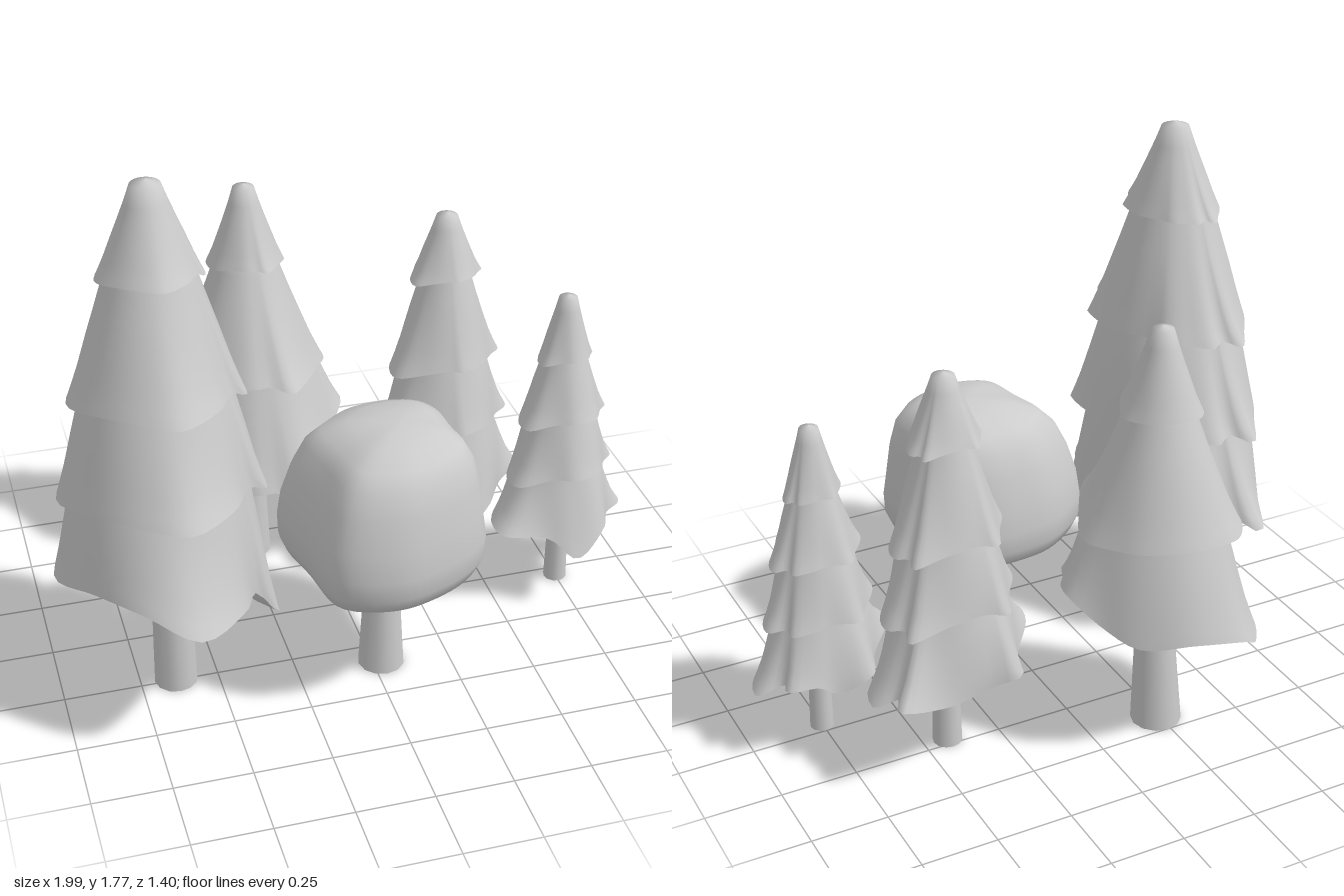
import * as THREE from 'three';
import { mergeGeometries } from 'three/addons/utils/BufferGeometryUtils.js';

const material = new THREE.MeshStandardMaterial({ color: 0xcccccc });
const SIDES = 56;
const V = (x, y, z) => new THREE.Vector3(x, y, z);
const lerp = THREE.MathUtils.lerp;

// Skin a stack of closed rings, listed from the top down.
function loft(rings) {
  const n = rings[0].length, index = [];
  for (let k = 0; k < rings.length - 1; k++) {
    for (let i = 0; i < n; i++) {
      const u0 = k * n + i, u1 = k * n + (i + 1) % n;
      index.push(u0, u1, u0 + n, u1, u1 + n, u0 + n);
    }
  }
  const geometry = new THREE.BufferGeometry().setFromPoints(rings.flat());
  geometry.setIndex(index);
  geometry.computeVertexNormals();
  return geometry;
}

// Smooth closed outline through [x, z, y] points.
const outline = (points) =>
  new THREE.CatmullRomCurve3(points.map(([x, z, y = 0]) => V(x, y, z)), true)
    .getSpacedPoints(SIDES).slice(0, SIDES);

function add(parent, name, geometry) {
  const mesh = new THREE.Mesh(geometry, material);
  mesh.name = name;
  parent.add(mesh);
}

// Tapered trunk whose top may lean backward or forward.
function trunk(parent, { x, z, bottom, top, height, leanZ = 0 }) {
  const geometry = new THREE.CylinderGeometry(top, bottom, height, 12, 3);
  geometry.translate(0, height / 2, 0);
  const p = geometry.attributes.position;
  for (let i = 0; i < p.count; i++) p.setZ(i, p.getZ(i) + leanZ * p.getY(i) / height);
  geometry.translate(x, 0, z);
  add(parent, 'trunk', geometry);
}

// One skirt of branches: a flared cone with a ragged rim and hollow underside.
// The lowest skirt follows the rim exactly; those above are rounder,
// raised at the front and drooping at the sides and tips.
function skirt(rim, apex, meanR, [topY, topR, baseY, scale]) {
  const lowest = scale === 1;
  const ragged = lowest ? 1 : lerp(0.35, 0.85, scale);
  const edge = rim.map((p) => {
    const dx = p.x - apex.x, dz = p.z - apex.z, r = Math.hypot(dx, dz);
    const angle = Math.atan2(dz, dx);
    const droop = 0.5 * Math.sin(angle) - 0.35 * Math.cos(2 * angle) - 1.2 * (r / meanR - 1);
    const k = scale * lerp(meanR, r, ragged) / r;
    const y = lowest ? p.y : baseY + droop * 0.17 * meanR * scale;
    return V(apex.x + dx * k, y, apex.z + dz * k);
  });
  // t runs from the top to the rim; spread is how far the ring has flared out.
  const ring = ([t, spread]) => edge.map((p) => {
    const dx = p.x - apex.x, dz = p.z - apex.z, r = Math.hypot(dx, dz);
    const softR = lerp(meanR * scale, r, 0.3 + 0.7 * t * t);
    const k = lerp(topR, softR, spread) / r;
    return V(apex.x + dx * k, lerp(topY, p.y, t), apex.z + dz * k);
  });
  const center = (y) => edge.map(() => V(apex.x, y, apex.z));
  const profile = [[0, 0], [0.2, 0.17], [0.4, 0.36], [0.6, 0.56], [0.8, 0.76], [0.92, 0.9]];
  const outer = [center(topY + topR * 0.3), ...profile.map(ring), edge];
  const inner = [edge, edge.map((p) => V(lerp(apex.x, p.x, 0.8), p.y + 0.03, lerp(apex.z, p.z, 0.8))),
    center(baseY + 0.08)];
  return mergeGeometries([loft(outer), loft(inner)]);
}

function firTree(name, { apex: [x, z], rim: points, tiers, trunk: trunkSpec }) {
  const tree = new THREE.Group();
  tree.name = name;
  const rim = outline(points);
  const meanR = rim.reduce((sum, p) => sum + Math.hypot(p.x - x, p.z - z), 0) / rim.length;
  tiers.forEach((tier, i) => add(tree, 'branchTier' + (i + 1), skirt(rim, { x, z }, meanR, tier)));
  trunk(tree, trunkSpec);
  return tree;
}

// Rim points are [x, z, y]; tiers are [topY, topRadius, rimY, scale].
const firs = {
  tallFir: {
    apex: [-0.65, 0.25],
    rim: [[-0.63, 0.69, 0.48], [-0.78, 0.6, 0.54], [-0.9, 0.46, 0.54], [-1, 0.28, 0.5],
      [-0.95, 0.14, 0.52], [-0.85, -0.05, 0.48], [-0.77, -0.2, 0.44], [-0.7, -0.12, 0.47],
      [-0.63, -0.17, 0.42], [-0.56, -0.11, 0.43], [-0.47, -0.05, 0.39], [-0.45, 0.05, 0.43],
      [-0.36, 0.2, 0.4], [-0.33, 0.42, 0.33], [-0.4, 0.42, 0.42], [-0.47, 0.57, 0.47]],
    tiers: [[1.76, 0.045, 1.49, 0.46], [1.57, 0.11, 1.11, 0.77], [1.25, 0.19, 0.79, 0.92], [0.95, 0.24, 0.46, 1]],
    trunk: { x: -0.635, z: 0.24, bottom: 0.07, top: 0.06, height: 0.65 },
  },
  backFir: {
    apex: [-0.22, -0.42],
    rim: [[-0.53, -0.45, 0.38], [-0.52, -0.55, 0.36], [-0.46, -0.65, 0.36], [-0.4, -0.69, 0.4],
      [-0.2, -0.7, 0.45], [-0.05, -0.63, 0.44], [0.02, -0.55, 0.48], [0.1, -0.41, 0.57],
      [0.03, -0.27, 0.53], [-0.06, -0.1, 0.45], [-0.12, -0.04, 0.38], [-0.2, -0.1, 0.42],
      [-0.27, -0.1, 0.42], [-0.37, -0.18, 0.4], [-0.5, -0.3, 0.36]],
    tiers: [[1.4, 0.035, 1.14, 0.41], [1.22, 0.08, 0.76, 0.82], [0.9, 0.18, 0.43, 1]],
    trunk: { x: -0.24, z: -0.42, bottom: 0.083, top: 0.05, height: 0.55, leanZ: 0.04 },
  },
  middleFir: {
    apex: [0.41, -0.23],
    rim: [[0.115, -0.08, 0.35], [0.125, -0.2, 0.36], [0.22, -0.33, 0.33], [0.27, -0.46, 0.34],
      [0.35, -0.43, 0.31], [0.5, -0.44, 0.29], [0.68, -0.45, 0.33], [0.65, -0.37, 0.32],
      [0.71, -0.33, 0.28], [0.7, -0.25, 0.29], [0.6, -0.15, 0.29], [0.52, -0.03, 0.28],
      [0.42, 0.03, 0.25], [0.38, 0.01, 0.31], [0.25, -0.02, 0.34]],
    tiers: [[1.305, 0.035, 1.1, 0.46], [1.18, 0.06, 0.79, 0.71], [0.92, 0.11, 0.56, 0.84], [0.66, 0.15, 0.31, 1]],
    trunk: { x: 0.42, z: -0.22, bottom: 0.048, top: 0.038, height: 0.45 },
  },
  smallFir: {
    apex: [0.74, 0.03],
    rim: [[0.49, 0.08, 0.3], [0.54, 0, 0.31], [0.6, -0.07, 0.29], [0.64, -0.16, 0.28],
      [0.75, -0.14, 0.23], [0.82, -0.15, 0.28], [0.92, -0.13, 0.28], [0.91, -0.08, 0.28],
      [0.99, -0.05, 0.24], [0.98, 0.02, 0.25], [0.9, 0.1, 0.27], [0.85, 0.2, 0.28],
      [0.74, 0.25, 0.21], [0.65, 0.21, 0.28], [0.5, 0.18, 0.3]],
    tiers: [[1.09, 0.03, 0.88, 0.43], [0.96, 0.05, 0.67, 0.68], [0.76, 0.09, 0.47, 0.82], [0.56, 0.12, 0.27, 1]],
    trunk: { x: 0.75, z: 0.04, bottom: 0.039, top: 0.032, height: 0.4 },
  },
};

// Rounded, slightly boxy crown on a short trunk.
function roundTree() {
  const tree = new THREE.Group();
  tree.name = 'roundTree';
  const plan = outline([[-0.275, 0.18], [-0.2, 0.1], [-0.1, 0.04], [0, 0.02], [0.12, 0.02], [0.23, 0.06],
    [0.29, 0.15], [0.31, 0.32], [0.325, 0.47], [0.26, 0.55], [0.13, 0.62], [0, 0.65], [-0.14, 0.62],
    [-0.2, 0.57], [-0.24, 0.38]]);
  const center = { x: 0.03, z: 0.33 };
  // [height, scale, sideways shift]
  const levels = [[0.91, 0, 0.05], [0.908, 0.22, 0.05], [0.893, 0.46, 0.045], [0.86, 0.67, 0.03],
    [0.81, 0.8, 0.02], [0.73, 0.89, 0.01], [0.63, 0.96, 0], [0.54, 1, 0], [0.47, 0.99, 0],
    [0.42, 0.92, 0], [0.385, 0.75, 0], [0.368, 0.4, 0], [0.365, 0, 0]];
  add(tree, 'crown', loft(levels.map(([y, s, shift]) => plan.map((p) =>
    V(center.x + shift + (p.x - center.x) * s, y, center.z + (p.z - center.z) * s)))));
  trunk(tree, { x: 0.03, z: 0.33, bottom: 0.076, top: 0.05, height: 0.45 });
  return tree;
}

export function createModel() {
  const model = new THREE.Group();
  model.name = 'treeCluster';
  for (const [name, spec] of Object.entries(firs)) model.add(firTree(name, spec));
  model.add(roundTree());
  return model;
}
